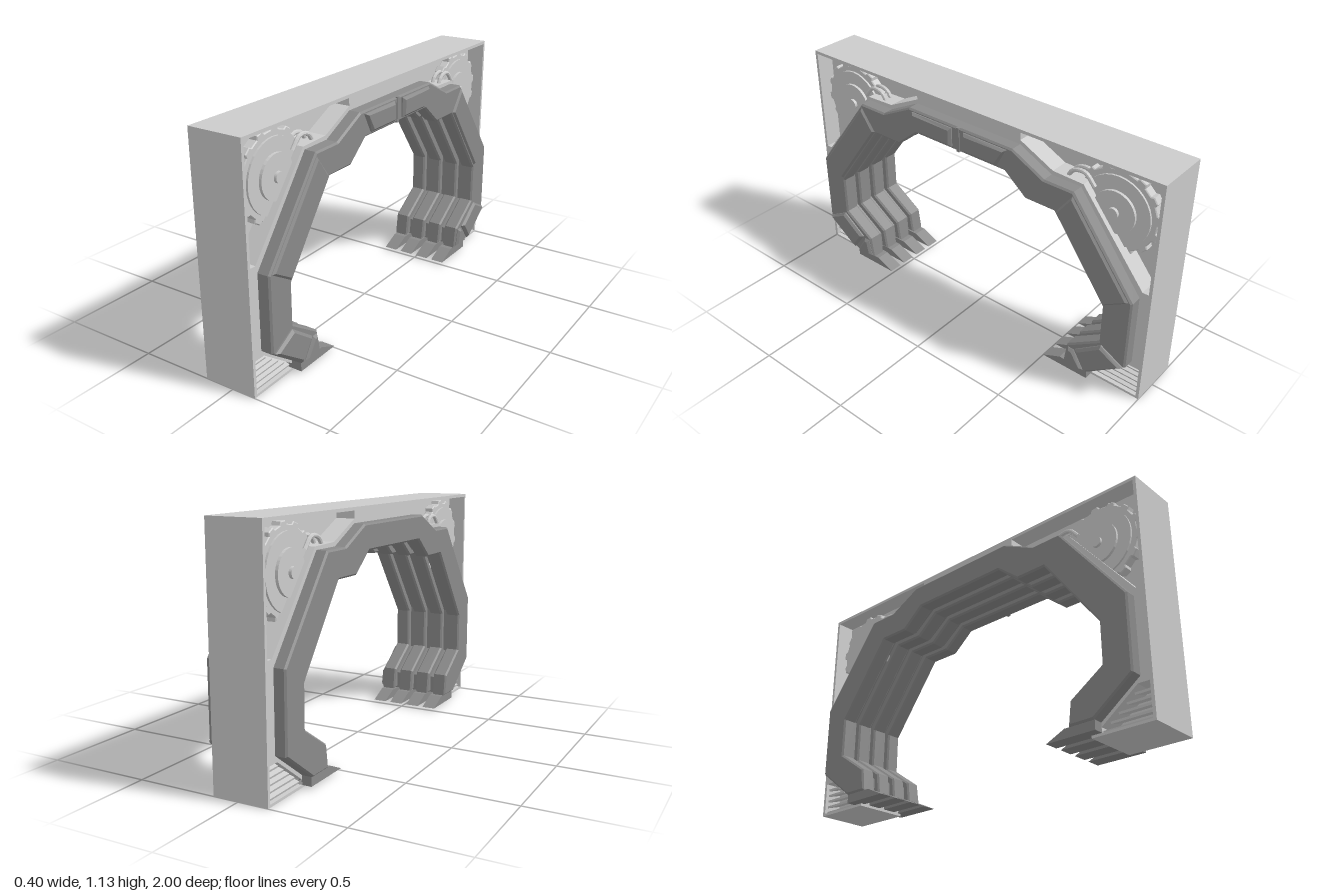
import * as THREE from 'three';

const light = new THREE.MeshStandardMaterial({ color: 0xcccccc, flatShading: true });
const dark = new THREE.MeshStandardMaterial({ color: 0x8a8a8a, flatShading: true });

// Half profiles of the arch as [z, y], from the crown down to the ankle
const OUTER = [[0.3, 1.06], [0.47, 0.975], [0.62, 0.975], [0.945, 0.555], [0.945, 0.2], [0.75, 0.055]];
const INNER = [[0.26, 0.94], [0.375, 0.845], [0.53, 0.845], [0.805, 0.47], [0.805, 0.275], [0.64, 0.165]];
const between = (t) => INNER.map((p, i) => p.map((v, k) => v + (OUTER[i][k] - v) * t));
const flip = (pts, s) => pts.map(([z, y]) => [z * s, y]);
const vectors = (pts) => pts.map(([z, y]) => new THREE.Vector2(-z, y));

// Full closed outline from a half outer and a half inner line
const archOutline = (outer, inner) => [
  ...outer, ...[...inner].reverse(), ...flip(inner, -1), ...flip([...outer].reverse(), -1)];

// Outline in the z-y plane, extruded along x from x0 to x1
function slab(parent, name, pts, x0, x1, mat, bevel = 0, holes = []) {
  const shape = new THREE.Shape(vectors(pts));
  holes.forEach((h) => shape.holes.push(new THREE.Path(vectors(h))));
  const geo = new THREE.ExtrudeGeometry(shape, {
    depth: x1 - x0 - 2 * bevel, bevelEnabled: bevel > 0, bevelSize: bevel,
    bevelThickness: bevel, bevelOffset: -bevel, bevelSegments: 1, curveSegments: 8,
  });
  geo.rotateY(Math.PI / 2).translate(x0 + bevel, 0, 0);
  const mesh = new THREE.Mesh(geo, mat);
  mesh.name = name;
  parent.add(mesh);
  return mesh;
}

// Closed gear outline with evenly spaced flat teeth
function gearOutline(cz, cy, r, teeth) {
  const pts = [];
  for (let i = 0; i < teeth; i++) {
    [[0, 0.93], [0.45, 0.93], [0.55, 1], [0.9, 1]].forEach(([f, k]) => {
      const a = ((i + f) / teeth) * Math.PI * 2;
      pts.push([cz + Math.cos(a) * r * k, cy + Math.sin(a) * r * k]);
    });
  }
  return pts;
}

function disc(parent, name, r, x, depth, cz, cy, mat) {
  const geo = new THREE.CylinderGeometry(r, r, depth, 32).rotateZ(Math.PI / 2);
  const mesh = new THREE.Mesh(geo, mat);
  mesh.position.set(x, cy, cz);
  mesh.name = name;
  parent.add(mesh);
}

function buildFrame(parent) {
  const frame = new THREE.Group();
  frame.name = 'frame';
  const outer = [[1, 1.13], [1, 0]];
  const inner = [...between(0.5), [0.7, 0]];
  const outline = archOutline(outer, inner);
  const upper = [[0.985, 1.115], [0.3, 1.115], [0.3, 1.08], [0.475, 0.995], [0.63, 0.99], [0.955, 0.59], [0.985, 0.59]];
  const lower = [[0.985, 0.17], [0.93, 0.17], [0.75, 0.035], [0.75, 0.012], [0.985, 0.012]];
  const holes = [1, -1].flatMap((s) => [flip(upper, s), flip(lower, s)]);
  // Rims with pockets on both faces, and the wall behind the pockets
  slab(frame, 'frameRimLeft', outline, 0.03, 0.12, light, 0, holes);
  slab(frame, 'frameRimRight', outline, -0.145, -0.055, light, 0, holes);
  slab(frame, 'frameWall', outline, -0.055, 0.03, light);
  parent.add(frame);
}

// Gear wheel, hoses and louvres in each pocket
function buildPocketParts(parent, side, s) {
  const g = new THREE.Group();
  g.name = 'pocketParts';
  const floor = side > 0 ? 0.03 : -0.055;
  const at = (d) => floor + side * d;
  const cz = 0.77 * s, cy = 0.9;
  const [a, b] = [at(0), at(0.045)].sort((p, q) => p - q);
  slab(g, 'gear', gearOutline(cz, cy, 0.205, 14), a, b, light, 0.004);
  disc(g, 'gearPlate', 0.165, at(0.027), 0.055, cz, cy, light);
  disc(g, 'gearBoss', 0.1, at(0.034), 0.068, cz, cy, light);
  disc(g, 'gearHub', 0.025, at(0.041), 0.082, cz, cy, light);
  for (const d of [0.03, 0.065]) {
    const path = new THREE.CatmullRomCurve3([
      new THREE.Vector3(at(d), 0.97, 0.53 * s), new THREE.Vector3(at(d), 1.02, 0.56 * s),
      new THREE.Vector3(at(d), 1.03, 0.62 * s), new THREE.Vector3(at(d), 0.98, 0.67 * s)]);
    const hose = new THREE.Mesh(new THREE.TubeGeometry(path, 12, 0.01, 8), light);
    hose.name = 'hose';
    g.add(hose);
  }
  for (let i = 0; i < 5; i++) {
    const y = 0.03 + i * 0.03;
    const z0 = 0.75 + Math.max(0, y - 0.035) * 1.33;
    const slat = new THREE.Mesh(new THREE.BoxGeometry(0.07, 0.01, 0.985 - z0), light);
    slat.position.set(at(0.04), y, s * (z0 + 0.985) / 2);
    slat.rotation.z = -side * 0.3;
    slat.name = 'louvre';
    g.add(slat);
  }
  parent.add(g);
}

function buildArch(parent) {
  const arch = new THREE.Group();
  arch.name = 'arch';
  const sole = [0.625, 0.055];
  // Core set back from the ribs on the inside of the opening
  slab(arch, 'archCore', archOutline(OUTER, [...between(0.22), [0.66, 0.055]]), -0.19, 0.17, dark);
  const ribOutline = archOutline(OUTER, [...INNER, sole]);
  const toe = [[0.75, 0.055], [0.6, 0.055], [0.505, 0.012], [0.75, 0.012]];
  for (let i = 0; i < 4; i++) {
    const x = -0.2 + i * 0.1017;
    slab(arch, 'archRib', ribOutline, x, x + 0.075, dark, 0.008);
    for (const s of [1, -1]) {
      const tx = -0.19 + i * 0.0975;
      slab(arch, 'toe', flip(toe, s), tx, tx + 0.0675, dark);
    }
  }
  // Raised armour panels on the left face
  const panels = [
    ['crownPanel', 0.198, [[0.035, 1.048], [0.275, 1.048], [0.225, 0.955], [0.035, 0.955]]],
    ['slopePanel', 0.19, [[0.62, 0.96], [0.932, 0.555], [0.812, 0.482], [0.538, 0.85]]],
    ['anklePanel', 0.198, [[0.935, 0.2], [0.76, 0.07], [0.69, 0.165], [0.82, 0.262]]],
    ['footPanel', 0.195, [[0.735, 0.065], [0.635, 0.065], [0.65, 0.155], [0.68, 0.155]]],
  ];
  for (const s of [1, -1]) {
    for (const [name, x1, pts] of panels) slab(arch, name, flip(pts, s), 0.16, x1, dark, 0.012);
  }
  slab(arch, 'crownSeam', [[0.008, 1.06], [-0.008, 1.06], [-0.008, 0.94], [0.008, 0.94]], 0.17, 0.184, dark);
  parent.add(arch);
}

export function createModel() {
  const model = new THREE.Group();
  model.name = 'archway';
  buildFrame(model);
  for (const side of [1, -1]) for (const s of [1, -1]) buildPocketParts(model, side, s);
  buildArch(model);
  return model;
}
